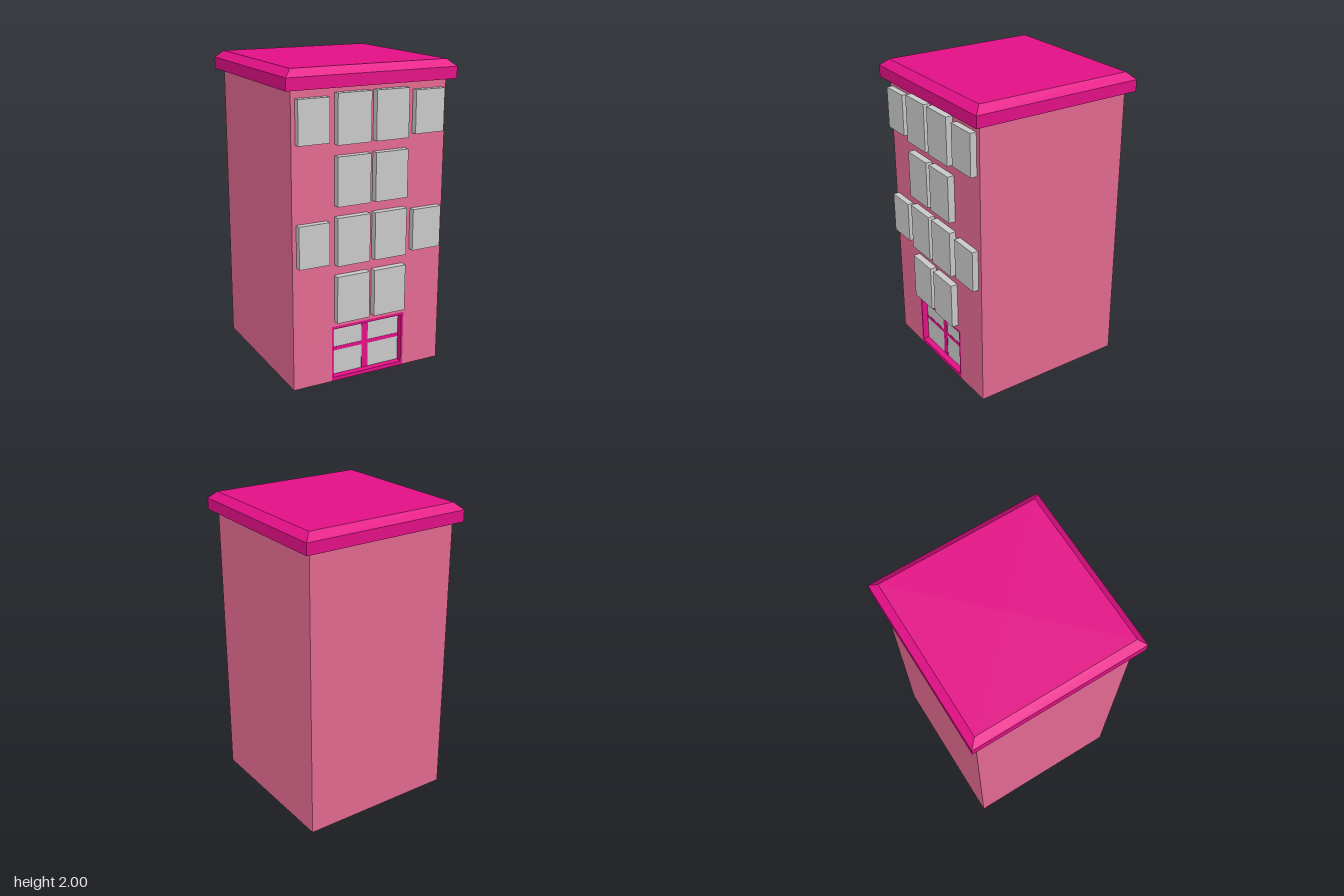
import * as THREE from 'three';

const material = (color) => new THREE.MeshStandardMaterial({ color, flatShading: true });

export function createModel() {
  const group = new THREE.Group();
  const wallMat = material(0xe66b93);
  const trimMat = material(0xe61088);
  const glassMat = material(0xcccccc);

  const H = 0.527;       // half width of the tower
  const wallTop = 1.88;
  const recess = 0.045;  // depth of the entrance
  const doorHalf = 0.262, doorTop = 0.375;

  const add = (name, geometry, mat) => {
    const mesh = new THREE.Mesh(geometry, mat);
    mesh.name = name;
    group.add(mesh);
    return mesh;
  };
  // Box given by its limits on each axis
  const block = (name, mat, [x0, x1], [y0, y1], [z0, z1]) =>
    add(name, new THREE.BoxGeometry(x1 - x0, y1 - y0, z1 - z0), mat)
      .position.set((x0 + x1) / 2, (y0 + y1) / 2, (z0 + z1) / 2);
  const polygon = (points) => new THREE.Shape(points.map(([x, y]) => new THREE.Vector2(x, y)));
  const rect = (x0, x1, y0, y1) => [[x0, y0], [x1, y0], [x1, y1], [x0, y1]];

  // Tower body, with a front wall notched for the entrance
  block('body', wallMat, [-H, H], [0, wallTop], [-H, H - recess]);
  const front = polygon([
    [-H, 0], [-doorHalf, 0], [-doorHalf, doorTop], [doorHalf, doorTop],
    [doorHalf, 0], [H, 0], [H, wallTop], [-H, wallTop],
  ]);
  add('frontWall', new THREE.ExtrudeGeometry(front, { depth: recess, bevelEnabled: false }), wallMat)
    .position.z = H - recess;

  // Entrance frame, flush with the wall
  const frame = polygon(rect(-doorHalf, doorHalf, 0, doorTop));
  frame.holes.push(polygon(rect(-0.25, 0.247, 0.025, 0.357)));
  add('doorFrame', new THREE.ExtrudeGeometry(frame, { depth: recess, bevelEnabled: false }), trimMat)
    .position.z = H - recess;

  // Recessed door panes and the bars between them
  const back = H - recess;
  for (const x of [[-0.25, -0.025], [0.02, 0.247]]) {
    for (const y of [[0.025, 0.19], [0.215, 0.357]]) {
      block('doorPane', glassMat, x, y, [back - 0.01, back + 0.002]);
    }
  }
  block('doorMullion', trimMat, [-0.025, 0.02], [0.025, 0.357], [back - 0.01, back + 0.004]);
  block('doorCrossbar', trimMat, [-0.25, 0.247], [0.19, 0.215], [back - 0.01, back + 0.004]);

  // Central windows, two on each of four storeys
  for (let i = 0; i < 4; i++) {
    const y = 0.413 + i * 0.376;
    for (const x of [[-0.245, -0.02], [0.015, 0.24]]) {
      block('centreWindow', glassMat, x, [y, y + 0.307], [H - 0.02, 0.572]);
    }
  }

  // Smaller outer windows on alternate storeys
  for (const y of [0.807, 1.559]) {
    for (const x of [[-0.5, -0.297], [0.29, 0.495]]) {
      block('outerWindow', glassMat, x, [y, y + 0.27], [H - 0.02, 0.568]);
    }
  }

  // Roof slab with a chamfered top, as a square loft
  const R = 0.575, root2 = Math.SQRT2;
  block('roofSlab', trimMat, [-R, R], [wallTop, 1.955], [-R, R]);
  const cap = new THREE.CylinderGeometry(H * root2, R * root2, 0.045, 4);
  cap.rotateY(Math.PI / 4);
  add('roofCap', cap, trimMat).position.y = 1.9775;

  return group;
}
